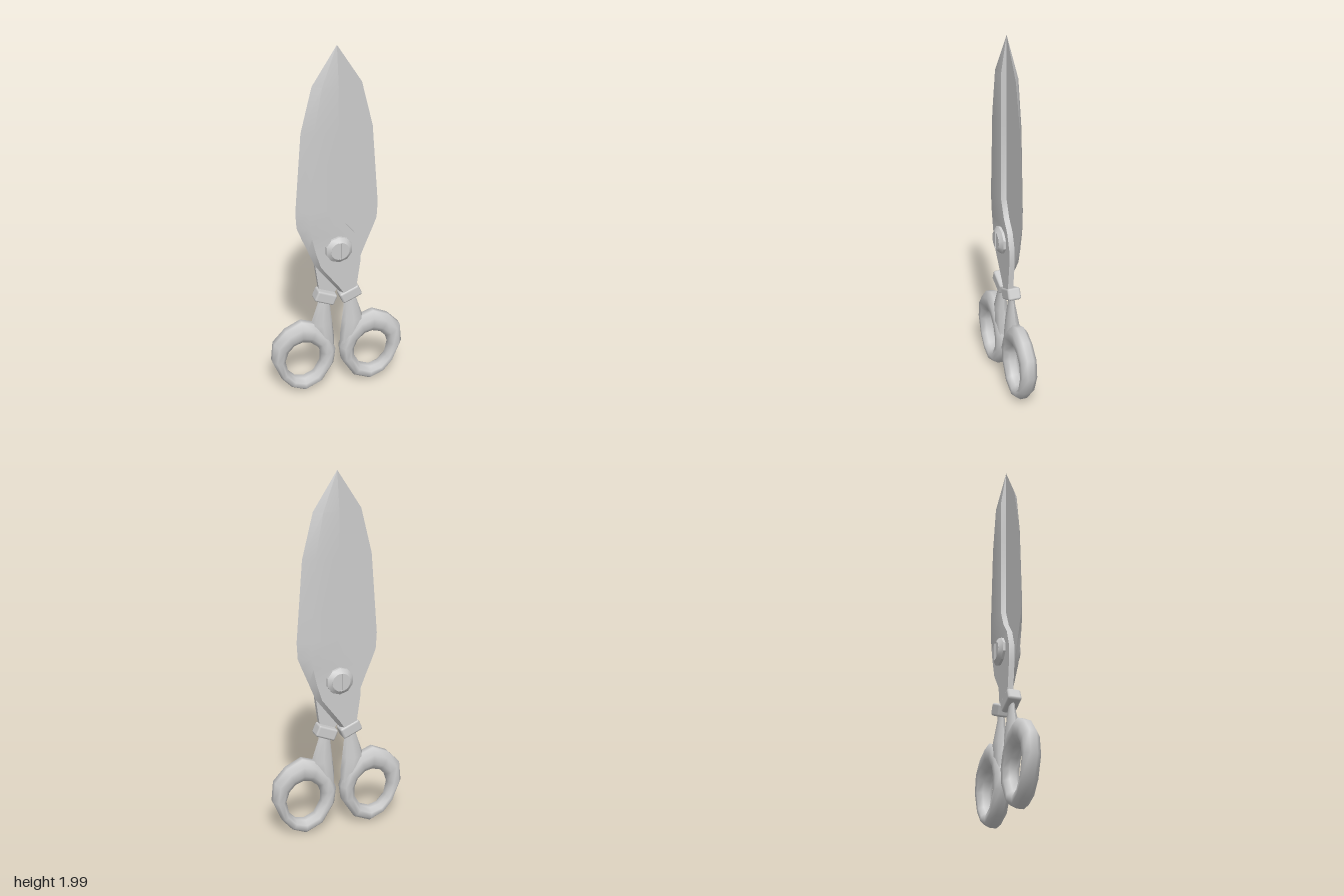
import * as THREE from 'three';
import { toCreasedNormals } from 'three/addons/utils/BufferGeometryUtils.js';
import { RoundedBoxGeometry } from 'three/addons/geometries/RoundedBoxGeometry.js';

const material = new THREE.MeshStandardMaterial({ color: 0xcccccc, side: THREE.DoubleSide });

function part(name, geometry, parent) {
  const mesh = new THREE.Mesh(geometry, material);
  mesh.name = name;
  parent.add(mesh);
  return mesh;
}

// Skin a row of closed cross-sections, each a list of [x, y, z]
function loft(sections, crease) {
  const n = sections[0].length;
  const index = [];
  for (let i = 0; i < sections.length - 1; i++) {
    for (let j = 0; j < n; j++) {
      const k = (j + 1) % n;
      const a = i * n + j, b = i * n + k, c = (i + 1) * n + k, d = (i + 1) * n + j;
      index.push(a, b, c, a, c, d);
    }
  }
  const geometry = new THREE.BufferGeometry();
  geometry.setAttribute('position', new THREE.Float32BufferAttribute(sections.flat(2), 3));
  geometry.setIndex(index);
  return toCreasedNormals(geometry, crease);
}

// Blade: thick straight spine, bevelled down to a thin outer edge
function bladeGeometry() {
  const rows = [ // y, outer edge, start of bevel, spine, thickness
    [2.0, 0, 0, 0, 0],
    [1.8, -0.13, -0.085, 0, 0.03],
    [1.56, -0.19, -0.13, 0, 0.03],
    [1.12, -0.225, -0.157, 0, 0.03],
    [1.03, -0.22, -0.155, 0.04, 0.03],
    [0.97, -0.197, -0.145, 0.09, 0.03],
    [0.88, -0.16, -0.125, 0.122, 0.03],
    [0.79, -0.125, -0.098, 0.122, 0.03],
    [0.65, -0.02, 0.005, 0.103, 0.03],
    [0.585, 0.03, 0.045, 0.1, 0.03],
  ];
  return loft(rows.map(([y, outer, bevel, spine, z]) =>
    [[spine, y, 0], [spine, y, z], [bevel, y, z], [outer, y, 0]]), 0.6);
}

// Finger ring: uneven outer outline around an oval hole
function ringGeometry() {
  const outline = [
    [0.376, 0.228], [0.365, 0.34], [0.296, 0.414], [0.206, 0.456], [0.12, 0.425], [0.045, 0.34],
    [0.014, 0.25], [0.026, 0.16], [0.095, 0.048], [0.19, 0.006], [0.27, 0.04], [0.328, 0.11],
  ];
  const sections = [...outline, outline[0]].map(([x, y]) => {
    const a = Math.atan2((y - 0.205) / 0.12, (x - 0.198) / 0.105);
    const ix = 0.198 + 0.105 * Math.cos(a), iy = 0.205 + 0.122 * Math.sin(a);
    return Array.from({ length: 8 }, (_, j) => {
      const p = (j + 0.5) * Math.PI / 4;
      const t = 0.5 + 0.5 * Math.cos(p) / Math.cos(Math.PI / 8);
      return [ix + (x - ix) * t, iy + (y - iy) * t, -0.043 * Math.sin(p) / Math.cos(Math.PI / 8)];
    });
  });
  return loft(sections, 1.2);
}

// Shank between collar and ring, flattened at the top
function shankGeometry() {
  const rows = [ // y, inner x, outer x, half depth
    [0.59, 0.045, 0.105, 0.013],
    [0.55, 0.042, 0.11, 0.015],
    [0.42, 0.028, 0.152, 0.036],
    [0.33, 0.018, 0.13, 0.04],
    [0.24, 0.018, 0.09, 0.035],
  ];
  return loft(rows.map(([y, x0, x1, d]) => Array.from({ length: 8 }, (_, j) => {
    const p = j * Math.PI / 4;
    return [(x0 + x1) / 2 + (x1 - x0) / 2 * Math.cos(p), y, d * Math.sin(p)];
  })), 1.2);
}

// Screw head: chamfered octagon with a slotted centre
function screwHead() {
  const head = new THREE.Group();
  head.name = 'screwHead';
  const profile = [[0.075, 0.02], [0.075, 0.043], [0.05, 0.062], [0.05, 0.054], [0, 0.054]]
    .map(([r, h]) => new THREE.Vector2(r, h));
  const body = new THREE.LatheGeometry(profile, 10).rotateX(Math.PI / 2);
  part('screwBody', toCreasedNormals(body, 0.5), head);
  const half = new THREE.Shape();
  half.absarc(0, 0, 0.05, -1.42, 1.42, false);
  for (const turn of [0, Math.PI]) {
    const plate = new THREE.ExtrudeGeometry(half, { depth: 0.009, bevelEnabled: false, curveSegments: 6 });
    part('screwFace', plate.translate(0, 0, 0.053).rotateZ(turn), head);
  }
  head.position.y = 0.89;
  return head;
}

function scissorHalf(name) {
  const half = new THREE.Group();
  half.name = name;
  part('blade', bladeGeometry(), half);
  const collar = part('collar', new RoundedBoxGeometry(0.118, 0.066, 0.074, 1, 0.012), half);
  collar.position.set(0.07, 0.594, 0);
  collar.rotation.z = 0.4;
  part('shank', shankGeometry(), half);
  part('fingerRing', ringGeometry(), half);
  half.add(screwHead());
  return half;
}

export function createModel() {
  const model = new THREE.Group();
  model.name = 'scissors';
  // Two identical halves, the second turned half round the upright axis
  const back = scissorHalf('backHalf');
  back.rotation.y = Math.PI;
  model.add(scissorHalf('frontHalf'), back);
  return model;
}
